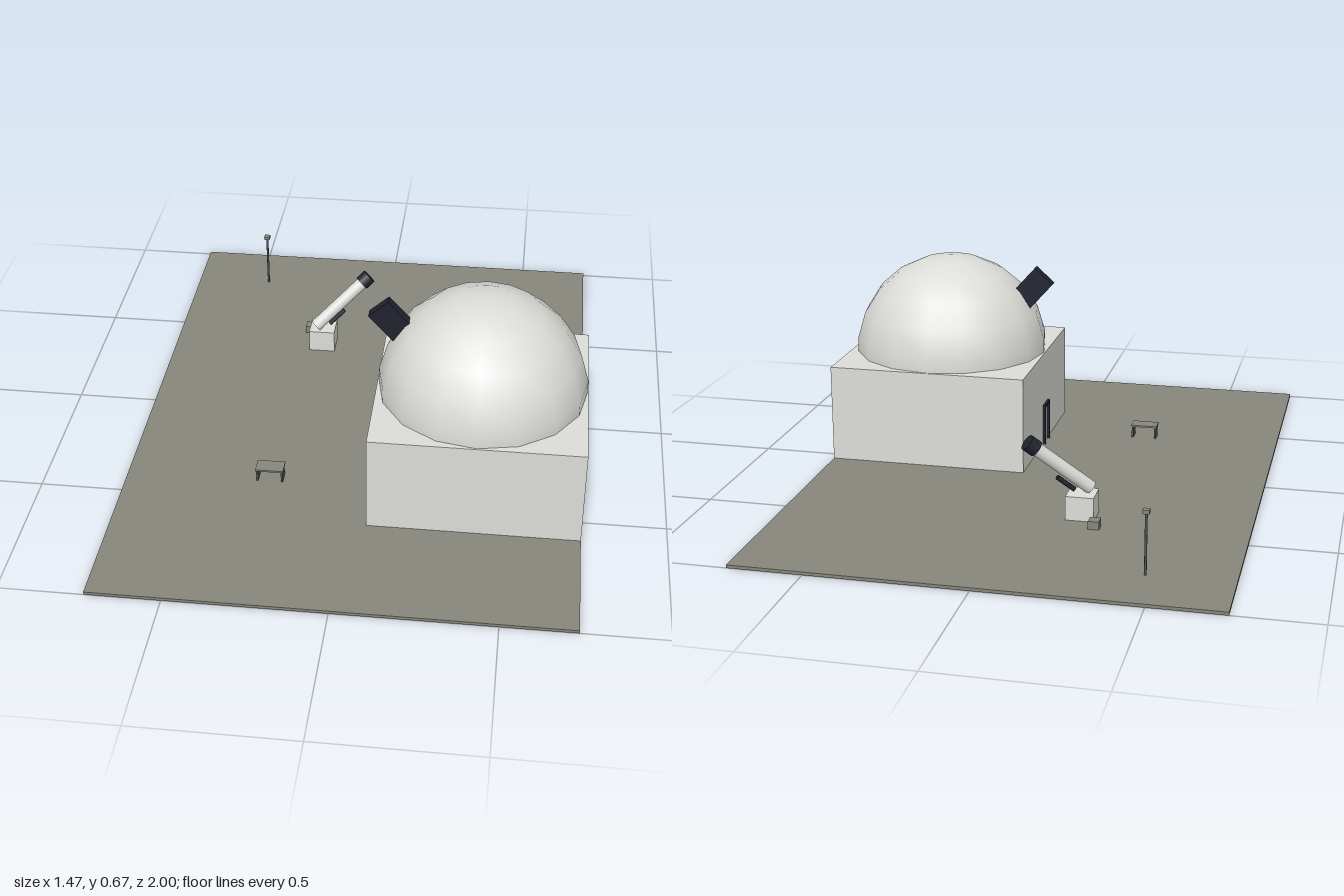
import * as THREE from 'three';

const mat = (name, color, side = THREE.FrontSide) => {
  const m = new THREE.MeshStandardMaterial({ color, side });
  m.name = name;
  return m;
};

export function createModel() {
  const white = mat('observatoryWhite', 0xdcdcd8);
  const stone = mat('groundGrey', 0x87867c);
  const black = mat('blueBlack', 0x20222e);
  const steel = mat('darkSteel', 0x56565a);

  const model = new THREE.Group();
  model.name = 'observatorySite';

  const add = (parent, name, geometry, material, x = 0, y = 0, z = 0) => {
    const mesh = new THREE.Mesh(geometry, material);
    mesh.name = name;
    mesh.position.set(x, y, z);
    parent.add(mesh);
    return mesh;
  };
  const box = (parent, name, material, size, pos) =>
    add(parent, name, new THREE.BoxGeometry(...size), material, ...pos);
  const group = (name, x, y, z) => {
    const g = new THREE.Group();
    g.name = name;
    g.position.set(x, y, z);
    model.add(g);
    return g;
  };
  // Cylinder running between two points
  const rod = (parent, name, material, from, to, radius, sides = 12) => {
    const a = new THREE.Vector3(...from), b = new THREE.Vector3(...to);
    const dir = b.clone().sub(a);
    const mesh = add(parent, name, new THREE.CylinderGeometry(radius, radius, dir.length(), sides), material);
    mesh.position.copy(a).add(b).multiplyScalar(0.5);
    mesh.quaternion.setFromUnitVectors(new THREE.Vector3(0, 1, 0), dir.normalize());
    return mesh;
  };

  // Ground slab
  const G = 0.01;
  box(model, 'ground', stone, [1.467, G, 2], [0, G / 2, 0]);

  // Observatory building and dome
  const hall = group('observatory', 0.4, 0, 0.267);
  box(hall, 'building', white, [0.667, 0.325, 0.667], [0, G + 0.1625, 0]);
  add(hall, 'dome', new THREE.SphereGeometry(0.333, 16, 6, 0, Math.PI * 2, 0, Math.PI * 6 / 11),
    white, 0, 0.333, 0);

  // Large telescope box poking out of the dome
  const barrel = box(hall, 'domeTelescope', black, [0.2, 0.083, 0.035], [-0.265, 0.535, 0]);
  barrel.rotation.z = -0.84;

  // Door frame on the side wall
  for (const s of [-1, 1]) {
    box(hall, 'doorJamb', black, [0.01, 0.14, 0.008], [-0.338, G + 0.07, s * 0.034]);
  }
  box(hall, 'doorLintel', black, [0.01, 0.008, 0.076], [-0.338, G + 0.138, 0]);

  // Outdoor telescope on its pier
  const scope = group('outdoorTelescope', 0, 0, 0);
  box(scope, 'pier', white, [0.09, 0.078, 0.09], [-0.202, G + 0.039, -0.4]);
  const low = [-0.225, 0.1, -0.38], high = [-0.043, 0.265, -0.47];
  const along = (t) => low.map((v, i) => v + (high[i] - v) * t);
  rod(scope, 'telescopeTube', white, low, along(0.88), 0.022, 16);
  rod(scope, 'telescopeCap', black, along(0.86), high, 0.027, 16);
  rod(scope, 'finder', black, [-0.178, 0.098, -0.403], [-0.128, 0.143, -0.427], 0.008, 8);

  // Equipment case beside the pier
  box(model, 'equipmentCase', stone, [0.035, 0.026, 0.038], [-0.258, G + 0.013, -0.485]);

  // Bench
  const bench = group('bench', -0.268, 0, 0.394);
  box(bench, 'benchTop', stone, [0.09, 0.006, 0.053], [0, 0.053, 0]);
  for (const s of [-1, 1]) {
    box(bench, 'benchLeg', steel, [0.006, 0.04, 0.045], [s * 0.04, G + 0.02, 0]);
  }

  // Lamp post
  const lamp = group('lampPost', -0.469, 0, -0.803);
  add(lamp, 'lampPole', new THREE.CylinderGeometry(0.004, 0.004, 0.19, 8), steel, 0, G + 0.095, 0);
  box(lamp, 'lampHead', stone, [0.02, 0.012, 0.02], [0, 0.206, 0]);

  return model;
}
